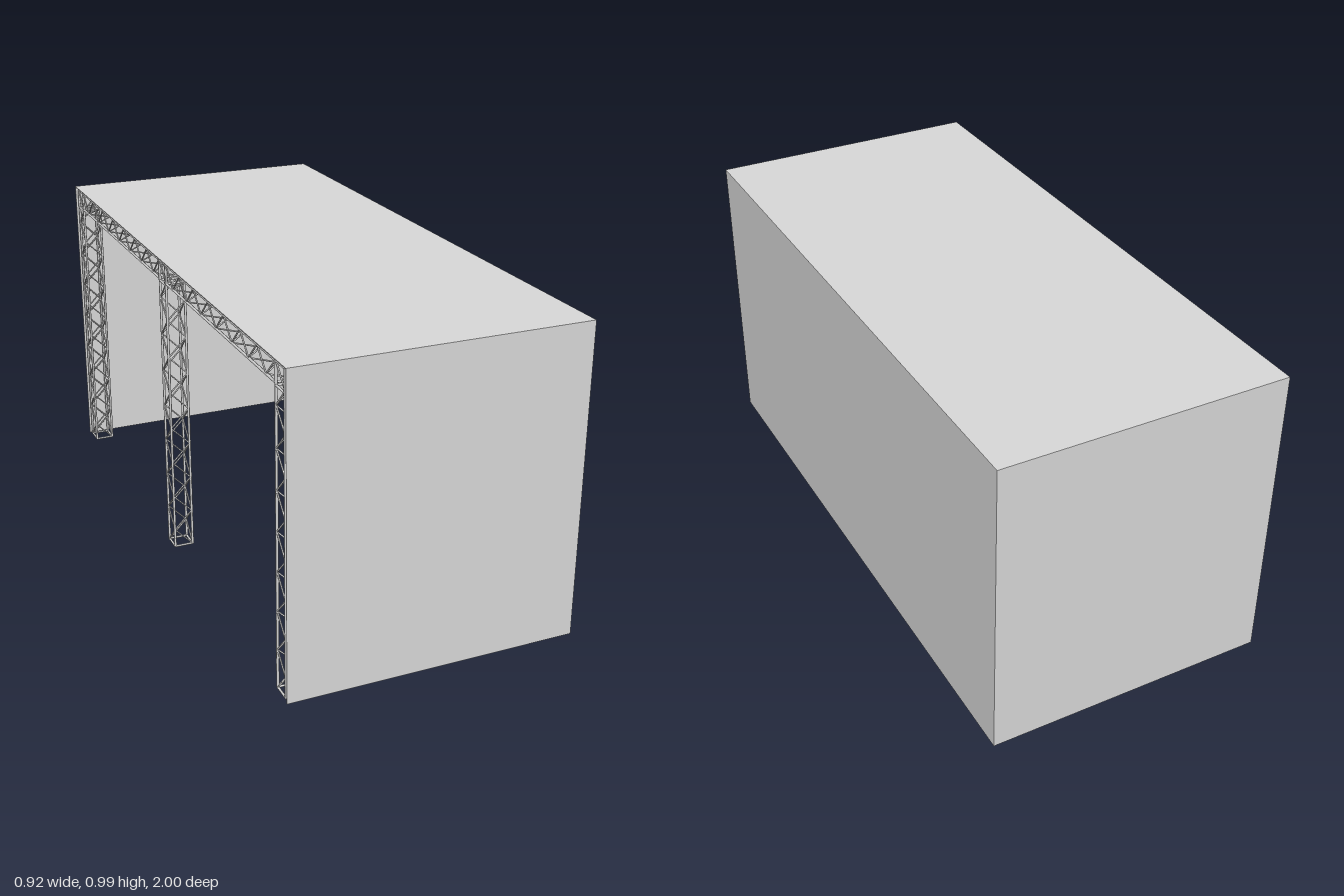
import * as THREE from 'three';
import { mergeGeometries } from 'three/addons/utils/BufferGeometryUtils.js';

const W = 0.916, H = 0.99, L = 2, T = 0.003; // overall size and cover thickness
const HALF = 0.03;         // half spacing of the truss chords
const CHORD = 0.0042, BRACE = 0.0025;
const COL_X = 0.421, COL_Z = 0.948, TOP = 0.985;

// Round bar between two points
function bar(a, b, r) {
  const dir = b.clone().sub(a);
  const g = new THREE.CylinderGeometry(r, r, dir.length(), 6);
  g.applyQuaternion(new THREE.Quaternion().setFromUnitVectors(new THREE.Vector3(0, 1, 0), dir.normalize()));
  const m = a.clone().add(b).multiplyScalar(0.5);
  return g.translate(m.x, m.y, m.z);
}

// Square lattice truss rising along y from 0, with square frames at given heights
function trussGeometry(length, frames) {
  const corners = [[1, 1], [-1, 1], [-1, -1], [1, -1]];
  const at = (i, y) => new THREE.Vector3(corners[i % 4][0] * HALF, y, corners[i % 4][1] * HALF);
  const panels = Math.round(length / 0.062), step = length / panels;
  const parts = [];
  for (let i = 0; i < 4; i++) {
    parts.push(bar(at(i, 0), at(i, length), CHORD));
    for (const y of frames) parts.push(bar(at(i, y), at(i + 1, y), CHORD * 0.9));
    // zigzag bracing on each face
    for (let p = 0; p < panels; p++) {
      const s = (p + i) % 2;
      parts.push(bar(at(i + s, p * step), at(i + 1 - s, (p + 1) * step), BRACE));
    }
  }
  return mergeGeometries(parts);
}

export function createModel() {
  const group = new THREE.Group();
  const grey = new THREE.MeshStandardMaterial({ color: 0xd9d9d9 });
  grey.name = 'light grey';

  const add = (name, geometry, x, y, z) => {
    const mesh = new THREE.Mesh(geometry, grey);
    mesh.name = name;
    mesh.position.set(x, y, z);
    group.add(mesh);
    return mesh;
  };

  // Roof, two end walls and one long wall; the -x side and the floor stay open
  add('roof', new THREE.BoxGeometry(W, T, L), 0, H - T / 2, 0);
  add('frontWall', new THREE.BoxGeometry(W, H - T, T), 0, (H - T) / 2, L / 2 - T / 2);
  add('backWall', new THREE.BoxGeometry(W, H - T, T), 0, (H - T) / 2, -L / 2 + T / 2);
  add('sideWall', new THREE.BoxGeometry(T, H - T, L - 2 * T), W / 2 - T / 2, (H - T) / 2, 0);

  // Six lattice columns with a corner block frame at the top
  const height = TOP - 2 * CHORD;
  const column = trussGeometry(height, [0, TOP - 0.075, height]);
  const gap = HALF + CHORD;
  const beamY = TOP - gap;

  // Roof beams between the columns
  const spanZ = COL_Z - 2 * gap, spanX = 2 * (COL_X - gap);
  const longBeam = trussGeometry(spanZ, [0, spanZ]);
  const crossBeam = trussGeometry(spanX, [0, spanX]);

  for (const z of [-COL_Z, 0, COL_Z]) {
    for (const x of [-COL_X, COL_X]) add('column', column, x, CHORD, z);
    add('crossBeam', crossBeam, -spanX / 2, beamY, z).rotation.z = -Math.PI / 2;
  }
  for (const x of [-COL_X, COL_X]) {
    for (const z of [-COL_Z + gap, gap]) add('longBeam', longBeam, x, beamY, z).rotation.x = Math.PI / 2;
  }
  return group;
}
